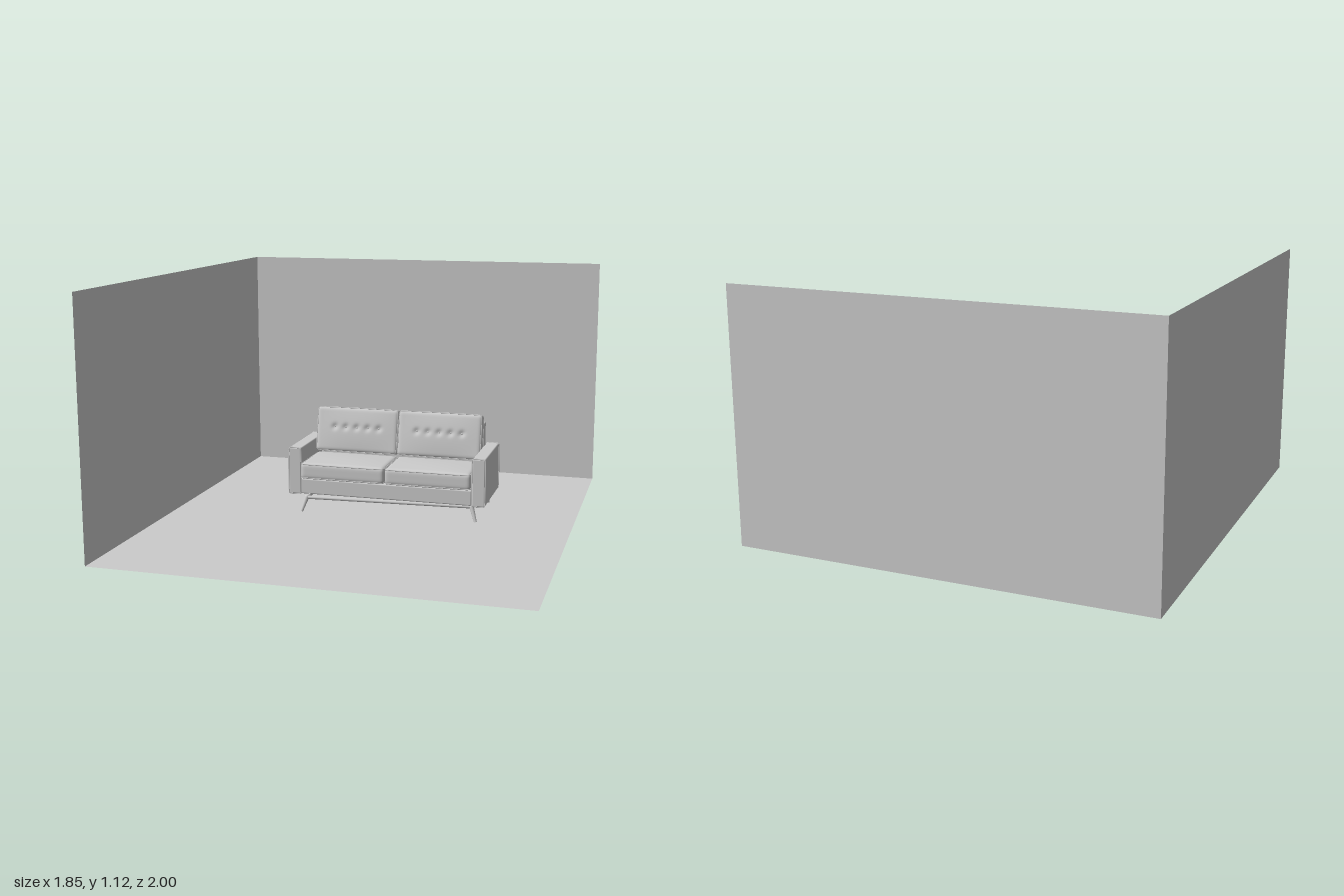
import * as THREE from 'three';
import { mergeVertices } from 'three/addons/utils/BufferGeometryUtils.js';
import { RoundedBoxGeometry } from 'three/addons/geometries/RoundedBoxGeometry.js';

const grey = new THREE.MeshStandardMaterial({ color: 0xcccccc });
const thin = new THREE.MeshStandardMaterial({ color: 0xcccccc, side: THREE.DoubleSide });

function add(parent, name, geometry, x = 0, y = 0, z = 0, material = grey) {
  const mesh = new THREE.Mesh(geometry, material);
  mesh.name = name;
  mesh.position.set(x, y, z);
  parent.add(mesh);
  return mesh;
}

// Box given by its limits, with softened edges
function block(parent, name, [x0, x1], [y0, y1], [z0, z1], r = 0.006) {
  const g = new RoundedBoxGeometry(x1 - x0, y1 - y0, z1 - z0, 3, r);
  return add(parent, name, g, (x0 + x1) / 2, (y0 + y1) / 2, (z0 + z1) / 2);
}

// Padded cushion: rounded box, swollen along z, with button dimples on its front
function cushionGeometry(w, h, d, r, puff, tufts = []) {
  const g = new THREE.BoxGeometry(w, h, d, 48, 28, 8);
  g.deleteAttribute('normal');
  g.deleteAttribute('uv');
  const pos = g.attributes.position;
  const p = new THREE.Vector3(), inner = new THREE.Vector3();
  const limit = new THREE.Vector3(w / 2 - r, h / 2 - r, d / 2 - r);
  const low = limit.clone().negate();
  for (let i = 0; i < pos.count; i++) {
    p.fromBufferAttribute(pos, i);
    inner.copy(p).clamp(low, limit);
    p.sub(inner).setLength(r).add(inner);
    const u = 2 * p.x / w, v = 2 * p.y / h;
    p.z += puff * (1 - u * u) * (1 - v * v) * (2 * p.z / d);
    if (p.z > 0) {
      for (const [tx, ty] of tufts) {
        p.z -= 0.01 * Math.exp(-((p.x - tx) ** 2 + (p.y - ty) ** 2) / 0.00018);
      }
    }
    pos.setXYZ(i, p.x, p.y, p.z);
  }
  const merged = mergeVertices(g, 1e-5);
  merged.computeVertexNormals();
  return merged;
}

// Thin cord around a rectangle in the xy plane
function piping(w, h, r = 0.003) {
  const c = 0.008, a = w / 2, b = h / 2;
  const pts = [];
  for (const [sx, sy, start] of [[1, 1, 0], [-1, 1, 1], [-1, -1, 2], [1, -1, 3]]) {
    for (let i = 0; i <= 3; i++) {
      const t = (start + i / 3) * Math.PI / 2;
      pts.push(new THREE.Vector3(sx * (a - c) + c * Math.cos(t), sy * (b - c) + c * Math.sin(t), 0));
    }
  }
  return new THREE.TubeGeometry(new THREE.CatmullRomCurve3(pts, true, 'centripetal'), 100, r, 6, true);
}

// Round bar between two points
function bar(parent, name, from, to, rFrom, rTo) {
  const a = new THREE.Vector3(...from), b = new THREE.Vector3(...to);
  const dir = b.clone().sub(a);
  const mesh = add(parent, name, new THREE.CylinderGeometry(rTo, rFrom, dir.length(), 12));
  mesh.position.copy(a).add(b).multiplyScalar(0.5);
  mesh.quaternion.setFromUnitVectors(new THREE.Vector3(0, 1, 0), dir.normalize());
}

function createRoom() {
  const room = new THREE.Group();
  room.name = 'room';
  add(room, 'floor', new THREE.PlaneGeometry(1.85, 2), 0, 0, 0, thin).rotation.x = -Math.PI / 2;
  add(room, 'backWall', new THREE.PlaneGeometry(1.85, 1.12), 0, 0.56, -1, thin);
  add(room, 'sideWall', new THREE.PlaneGeometry(2, 1.12), -0.925, 0.56, 0, thin).rotation.y = Math.PI / 2;
  return room;
}

function createSofa() {
  const sofa = new THREE.Group();
  sofa.name = 'sofa';

  // Upholstered frame
  block(sofa, 'seatBase', [-0.355, 0.468], [0.077, 0.15], [-0.39, -0.042]);
  block(sofa, 'backPanel', [-0.355, 0.465], [0.077, 0.4], [-0.4, -0.362]);

  // Arms with piped front and rear edges
  for (const [name, x0, x1] of [['rightArm', -0.412, -0.352], ['leftArm', 0.47, 0.53]]) {
    block(sofa, name, [x0, x1], [0.075, 0.298], [-0.4, -0.04]);
    for (const z of [-0.397, -0.043]) {
      add(sofa, name + 'Piping', piping(x1 - x0, 0.223), (x0 + x1) / 2, 0.1865, z);
    }
  }

  // Two seat cushions and two tufted back cushions
  const width = 0.406;
  const tufts = [-2, -1, 0, 1, 2].map(i => [i * 0.055, 0.012]);
  const seatShape = cushionGeometry(width, 0.265, 0.078, 0.016, 0.007).rotateX(-Math.PI / 2);
  const backShape = cushionGeometry(width, 0.215, 0.058, 0.014, 0.009, tufts);
  for (const x of [-0.148, 0.261]) {
    add(sofa, 'seatCushion', seatShape, x, 0.189, -0.163);
    for (const y of [0.156, 0.222]) {
      add(sofa, 'seatPiping', piping(width - 0.006, 0.259, 0.0025), x, y, -0.163).rotation.x = Math.PI / 2;
    }
    const back = new THREE.Group();
    back.name = 'backCushionSet';
    back.position.set(x, 0.34, -0.312);
    back.rotation.x = -0.2;
    sofa.add(back);
    add(back, 'backCushion', backShape);
    for (const z of [-0.023, 0.023]) {
      add(back, 'backPiping', piping(width - 0.006, 0.209, 0.0025), 0, 0, z);
    }
    for (const [tx, ty] of tufts) {
      add(back, 'button', new THREE.SphereGeometry(0.004, 8, 6), tx, ty, 0.028);
    }
  }
  return sofa;
}

// Slightly turned leg frame with splayed, tapered legs
function createLegFrame() {
  const frame = new THREE.Group();
  frame.name = 'legFrame';
  const corners = [
    { top: [-0.31, 0.073, 0.0], foot: [-0.328, 0.01, 0.026] },
    { top: [0.465, 0.067, -0.067], foot: [0.487, 0.0, -0.05] },
    { top: [0.46, 0.067, -0.385], foot: [0.483, 0.0, -0.405] },
    { top: [-0.31, 0.073, -0.308], foot: [-0.328, 0.01, -0.324] },
  ];
  corners.forEach(({ top, foot }, i) => {
    bar(frame, 'leg', foot, top, 0.007, 0.011);
    add(frame, 'legJoint', new THREE.SphereGeometry(0.011, 12, 8), ...top);
    bar(frame, 'rail', top, corners[(i + 1) % 4].top, 0.008, 0.008);
  });
  return frame;
}

export function createModel() {
  const model = new THREE.Group();
  model.name = 'sofaInRoom';
  model.add(createRoom(), createSofa(), createLegFrame());
  return model;
}
